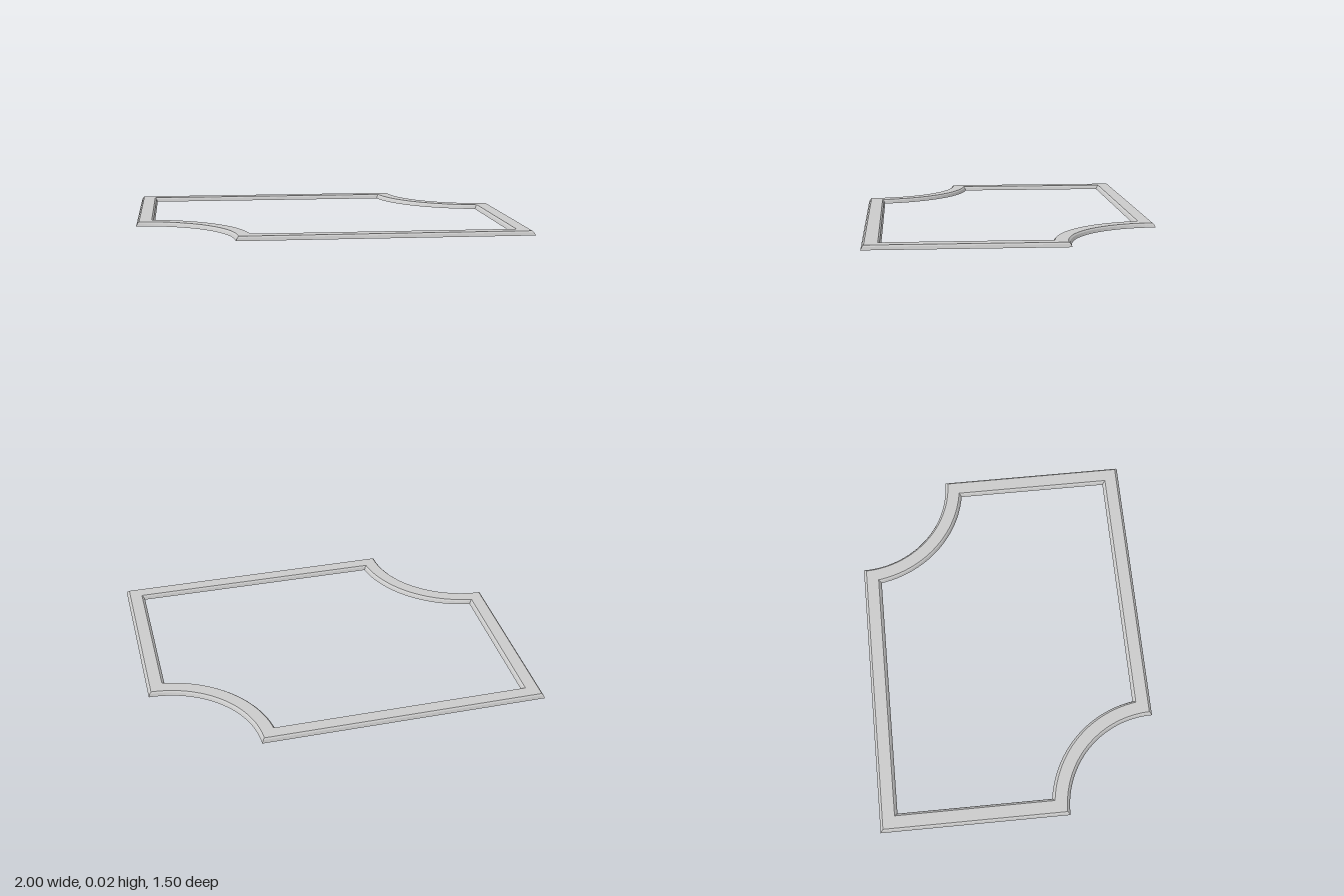
import * as THREE from 'three';
import { toCreasedNormals } from 'three/addons/utils/BufferGeometryUtils.js';

const HALF_X = 1, HALF_Z = 0.75, NOTCH = 0.5, ARC_STEPS = 40;

// Moulding cross-section: [inset from the outer edge, height]
const PROFILE = [[0, 0], [0.007, 0.015], [0.015, 0.022], [0.08, 0.022], [0.088, 0.015], [0.095, 0]];

// Rectangle with two opposite corners scooped out, inset by d
function outline(d) {
  const half = [[-HALF_X + d, -HALF_Z + d]];
  const r = NOTCH + d;
  const start = Math.asin(d / r);
  const end = Math.PI / 2 - start;
  for (let i = 0; i <= ARC_STEPS; i++) {
    const a = start + (end - start) * i / ARC_STEPS;
    half.push([HALF_X - r * Math.cos(a), -HALF_Z + r * Math.sin(a)]);
  }
  // The other half is the same, turned by 180 degrees
  return [...half, ...half.map(([x, z]) => [-x, -z])];
}

// Sweep the cross-section round the outline, mitred at every corner
function frameGeometry() {
  const positions = [], indices = [];
  for (const [d, y] of PROFILE) {
    for (const [x, z] of outline(d)) positions.push(x, y, z);
  }
  const rings = PROFILE.length;
  const n = positions.length / 3 / rings;
  for (let i = 0; i < rings; i++) {
    for (let j = 0; j < n; j++) {
      const k = (j + 1) % n, next = (i + 1) % rings;
      const a = i * n + j, b = i * n + k, c = next * n + k, e = next * n + j;
      indices.push(a, e, c, a, c, b);
    }
  }
  const geometry = new THREE.BufferGeometry();
  geometry.setAttribute('position', new THREE.Float32BufferAttribute(positions, 3));
  geometry.setIndex(indices);
  return toCreasedNormals(geometry, 0.4);
}

export function createModel() {
  const group = new THREE.Group();
  group.name = 'mouldingFrame';
  const frame = new THREE.Mesh(frameGeometry(), new THREE.MeshStandardMaterial({ color: 0xcccccc }));
  frame.name = 'frame';
  group.add(frame);
  return group;
}
